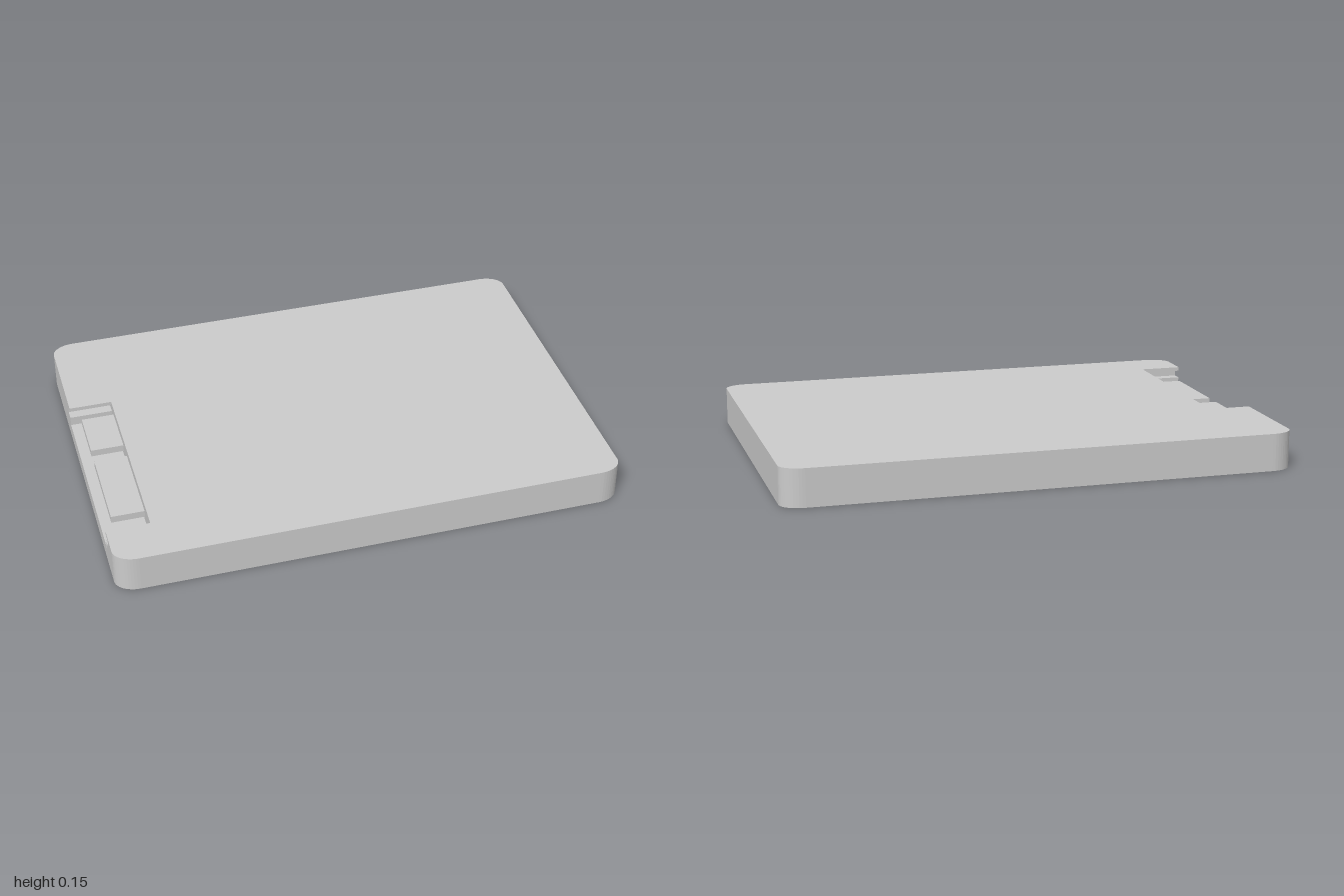
import * as THREE from 'three';

const W = 1, D = 0.71, RX = 0.09, RZ = 0.065;   // half width, half depth, corner radii
const SLOT_IN = -0.83;                          // inner wall of the connector slot

// Rounded plate outline; slot = [zBack, zFront] cuts a notch in the -x edge.
function outline(slot) {
  const s = new THREE.Shape();
  const corner = (sx, sy, a) =>
    s.absellipse(sx * (W - RX), sy * (D - RZ), RX, RZ, a, a + Math.PI / 2, false, 0);
  corner(1, -1, -Math.PI / 2);
  corner(1, 1, 0);
  corner(-1, 1, Math.PI / 2);
  if (slot) {
    const [back, front] = slot;
    s.lineTo(-W, -back);
    s.lineTo(SLOT_IN, -back);
    s.lineTo(SLOT_IN, -front);
    s.lineTo(-W, -front);
  }
  corner(-1, -1, Math.PI);
  s.closePath();
  return s;
}

export function createModel() {
  const group = new THREE.Group();
  const material = new THREE.MeshStandardMaterial({ color: 0xcccccc });

  // Casing, stacked in layers: solid base, slot, wider side groove, top lip
  const layers = [
    ['casingBase', 0, 0.065, null],
    ['slotWalls', 0.065, 0.102, [-0.26, 0.525]],
    ['slotGroove', 0.102, 0.132, [-0.3, 0.565]],
    ['casingTop', 0.132, 0.148, [-0.26, 0.525]],
  ];
  for (const [name, y0, y1, slot] of layers) {
    const geo = new THREE.ExtrudeGeometry(outline(slot), {
      depth: y1 - y0, bevelEnabled: false, curveSegments: 6,
    });
    geo.rotateX(-Math.PI / 2);
    geo.translate(0, y0, 0);
    const mesh = new THREE.Mesh(geo, material);
    mesh.name = name;
    group.add(mesh);
  }

  // Connector tongues reaching out from the inner wall of the slot
  const tongues = [
    ['shortConnectorTongue', -0.22, -0.01],
    ['longConnectorTongue', 0.06, 0.41],
  ];
  for (const [name, z0, z1] of tongues) {
    const mesh = new THREE.Mesh(new THREE.BoxGeometry(0.13, 0.028, z1 - z0), material);
    mesh.position.set(-0.895, 0.099, (z0 + z1) / 2);
    mesh.name = name;
    group.add(mesh);
  }
  return group;
}
